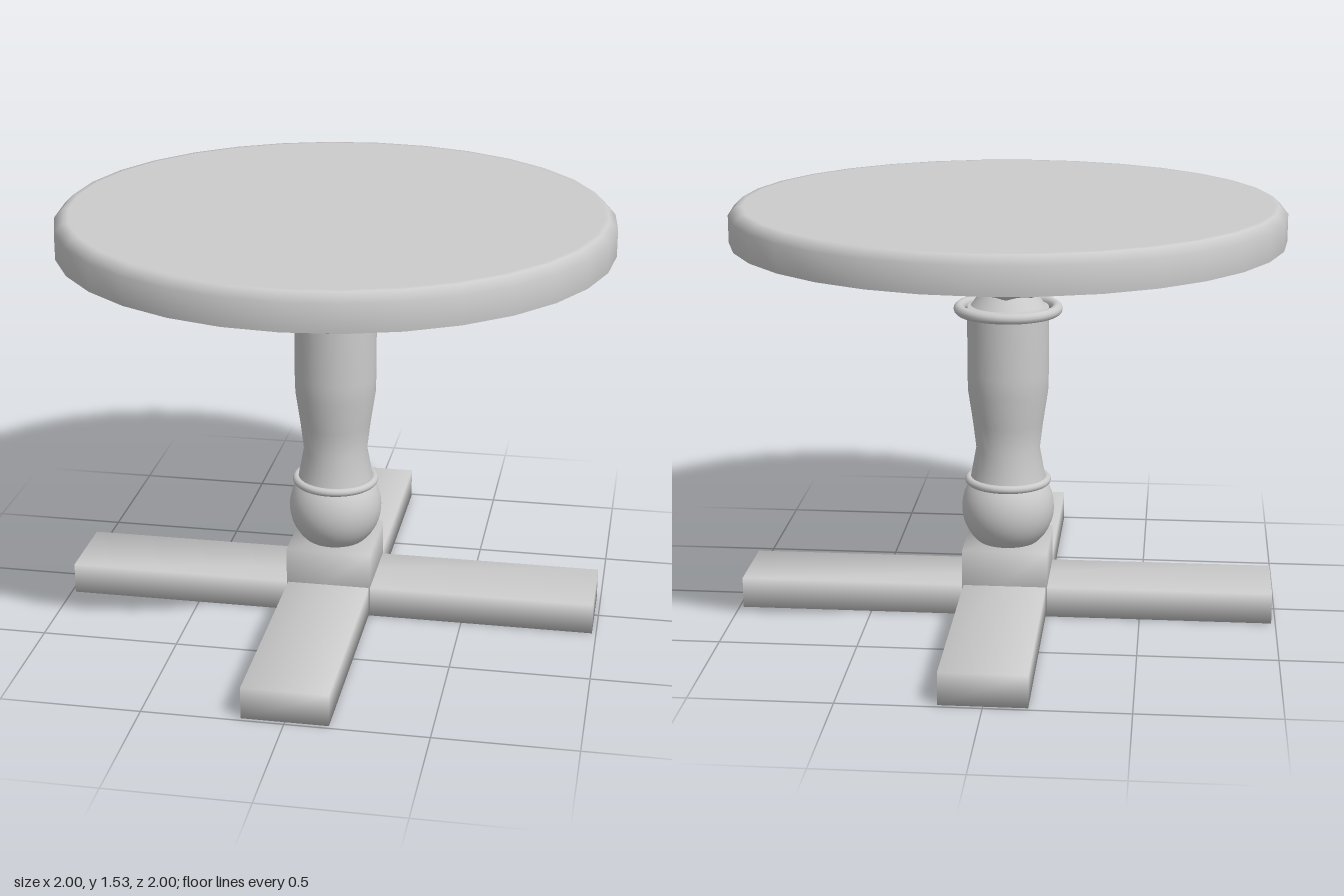
import * as THREE from 'three';
import { mergeVertices } from 'three/addons/utils/BufferGeometryUtils.js';

const material = new THREE.MeshStandardMaterial({ color: 0xcccccc });

export function createModel() {
  const group = new THREE.Group();

  const add = (name, geometry, y = 0) => {
    const mesh = new THREE.Mesh(geometry, material);
    mesh.name = name;
    mesh.position.y = y;
    group.add(mesh);
    return mesh;
  };

  // Turned part from [radius, height] pairs, bottom to top
  const turned = (name, profile, sides) =>
    add(name, new THREE.LatheGeometry(profile.map(([r, y]) => new THREE.Vector2(r, y)), sides));

  // Box with normals shared across its edges, for a soft look
  const softBox = (w, h, d) => {
    let g = new THREE.BoxGeometry(w, h, d);
    g.deleteAttribute('normal');
    g.deleteAttribute('uv');
    g = mergeVertices(g);
    g.computeVertexNormals();
    return g;
  };

  const ring = (name, radius, tube, y) =>
    add(name, new THREE.TorusGeometry(radius, tube, 12, 48).rotateX(Math.PI / 2), y);

  // Round top with a chamfered upper edge
  turned('tableTop', [
    [0, 1.4], [0.99, 1.4], [1, 1.401], [1, 1.5], [0.97, 1.53], [0.95, 1.531], [0, 1.531],
  ], 32);

  // Hexagonal head under the top, and the flared collar below it
  turned('columnHead', [[0.112, 1.19], [0.185, 1.26], [0.185, 1.4]], 6);
  turned('columnCollar', [[0.135, 1.15], [0.1, 1.2]], 32);
  ring('upperRing', 0.179, 0.02, 1.137);

  // Turned shaft
  turned('columnShaft', [
    [0.14, 0.49], [0.118, 0.61], [0.13, 0.71], [0.148, 0.83], [0.15, 0.9],
    [0.15, 1.13], [0.149, 1.145], [0, 1.15],
  ], 32);
  ring('lowerRing', 0.145, 0.015, 0.487);
  add('columnBall', new THREE.SphereGeometry(0.172, 32, 20), 0.38);

  // Square plinth and crossed feet
  add('plinth', softBox(0.315, 0.247, 0.315), 0.1275);
  add('footBeamX', softBox(1.97, 0.115, 0.305), 0.0585);
  add('footBeamZ', softBox(0.305, 0.117, 1.97), 0.0585);

  return group;
}
